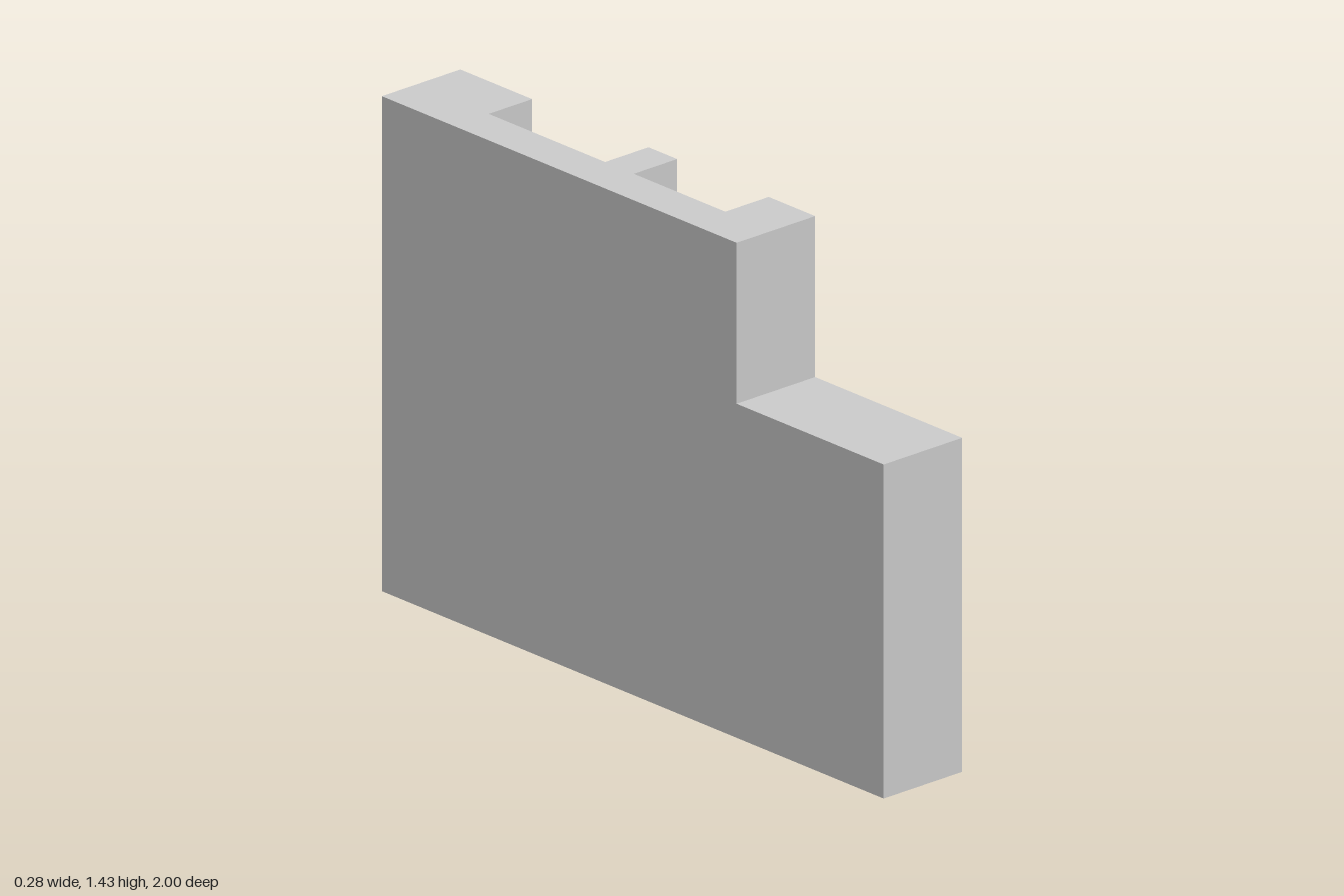
import * as THREE from 'three';

const HALF_WIDTH = 0.142, RECESS_X = -0.015;
const TOP = 1.43, STEP_Y = 0.965, STEP_Z = 0.414;

export function createModel() {
  const group = new THREE.Group();
  const material = new THREE.MeshStandardMaterial({ color: 0xcccccc, flatShading: true });

  // Extrudes a side profile of [z, y] corners from x0 to x1
  function slab(name, profile, x0, x1) {
    const shape = new THREE.Shape(profile.map(([z, y]) => new THREE.Vector2(z, y)));
    const geometry = new THREE.ExtrudeGeometry(shape, { depth: x1 - x0, bevelEnabled: false });
    geometry.rotateY(-Math.PI / 2).translate(x1, 0, 0);
    const mesh = new THREE.Mesh(geometry, material);
    mesh.name = name;
    group.add(mesh);
  }

  // Full-length stepped wall behind the recesses
  slab('backWall', [
    [-1, 0], [1, 0], [1, STEP_Y], [STEP_Z, STEP_Y], [STEP_Z, TOP], [-1, TOP],
  ], -HALF_WIDTH, RECESS_X);

  // Front facing with an open pocket in its top edge
  slab('notchedFacing', [
    [-0.25, 0], [1, 0], [1, STEP_Y], [STEP_Z, STEP_Y], [STEP_Z, TOP],
    [0.229, TOP], [0.229, STEP_Y], [-0.136, STEP_Y], [-0.136, TOP], [-0.25, TOP],
  ], RECESS_X, HALF_WIDTH);

  // Rear pillar on the far side of the full-height channel
  slab('rearPillar', [[-1, 0], [-0.714, 0], [-0.714, TOP], [-1, TOP]], RECESS_X, HALF_WIDTH);

  return group;
}
